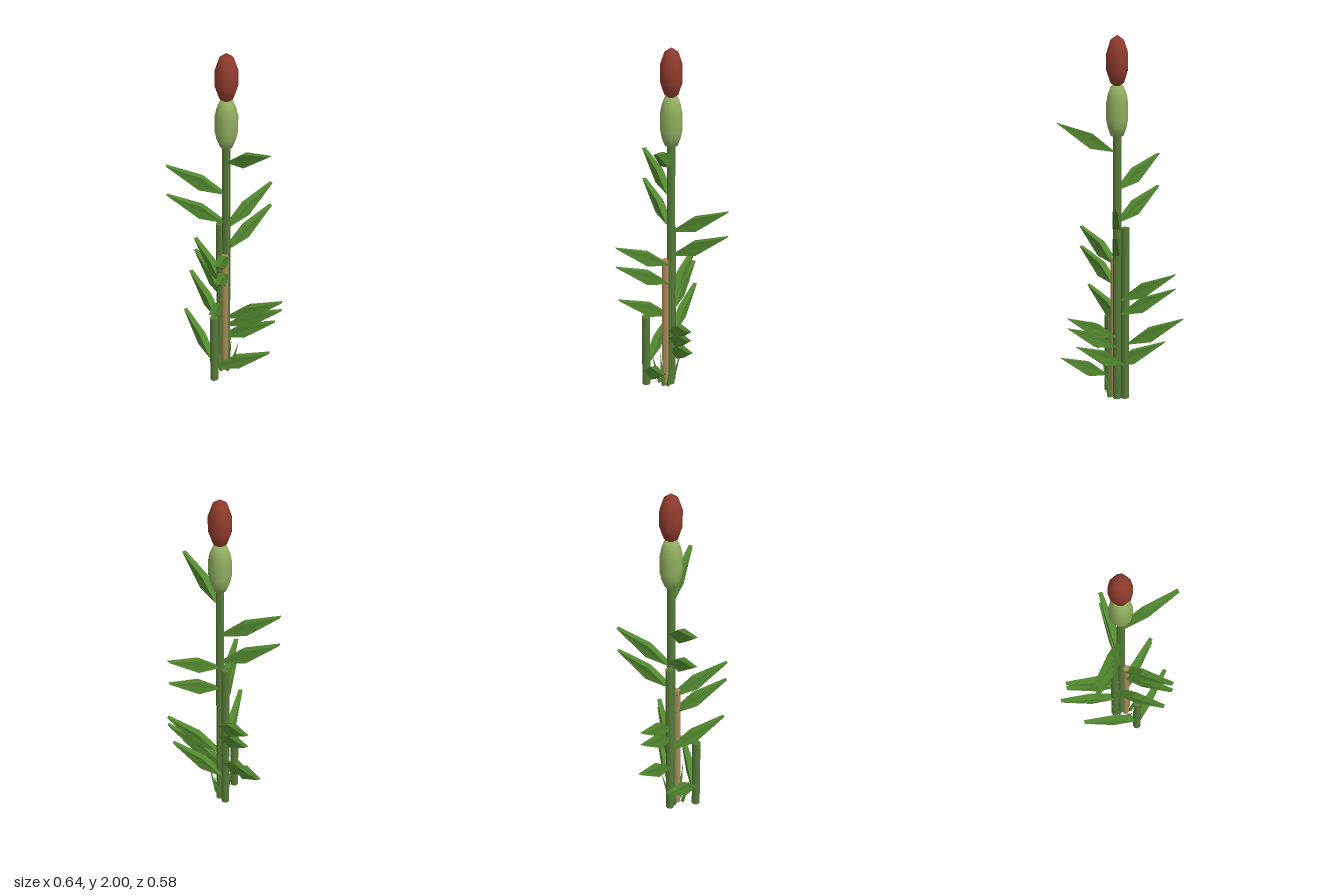
import * as THREE from 'three';

const paint = (name, color) => {
  const m = new THREE.MeshStandardMaterial({ color });
  m.name = name;
  return m;
};

// Kite-shaped leaf in side profile, tapering in width towards the tip
function leafGeometry() {
  const kite = new THREE.Shape([[0.015, -0.005], [0.145, 0.015], [0.32, 0.15], [0.13, 0.09]]
    .map(([x, y]) => new THREE.Vector2(x, y)));
  const geo = new THREE.ExtrudeGeometry(kite, { depth: 1, bevelEnabled: false });
  const p = geo.attributes.position;
  for (let i = 0; i < p.count; i++) {
    const s = p.getX(i);
    const width = s < 0.15 ? 0.039 : 0.023;
    p.setZ(i, (p.getZ(i) - 0.5) * width);
  }
  geo.computeVertexNormals();
  return geo;
}

export function createModel() {
  const group = new THREE.Group();
  const stemGreen = paint('stemGreen', 0x567a38);
  const leafGreen = paint('leafGreen', 0x52882f);
  const budGreen = paint('budGreen', 0x8fad5f);
  const rust = paint('rust', 0x8f3b2c);
  const straw = paint('straw', 0xa88a58);

  const add = (name, geo, mat, x, y, z) => {
    const mesh = new THREE.Mesh(geo, mat);
    mesh.name = name;
    mesh.position.set(x, y, z);
    group.add(mesh);
    return mesh;
  };

  // Stalks: name, material, x, z, height, radius
  const stalks = {
    mainStalk: [stemGreen, 0, -0.03, 1.5, 0.023],
    backStalk: [stemGreen, -0.04, -0.05, 0.97, 0.023],
    shortStalk: [stemGreen, -0.037, 0.105, 0.44, 0.024],
    dryStalk: [straw, 0, 0.002, 0.8, 0.019],
  };
  for (const [name, [mat, x, z, h, r]] of Object.entries(stalks)) {
    add(name, new THREE.CylinderGeometry(r, r, h, 8), mat, x, h / 2, z);
  }

  // Leaves: stalk, tip x, tip y, tip z
  const leaf = leafGeometry();
  const leaves = [
    ['mainStalk', 0.27, 1.54, 0.14],
    ['mainStalk', -0.315, 1.34, 0.025],
    ['mainStalk', -0.315, 1.16, 0.025],
    ['mainStalk', 0.19, 1.13, -0.285],
    ['mainStalk', 0.19, 0.985, -0.285],
    ['mainStalk', 0.025, 0.925, 0.29],
    ['mainStalk', 0.025, 0.81, 0.29],
    ['mainStalk', -0.235, 0.72, -0.245],
    ['mainStalk', -0.235, 0.64, -0.245],
    ['mainStalk', 0.32, 0.515, -0.03],
    ['mainStalk', 0.32, 0.46, -0.03],
    ['backStalk', -0.012, 0.585, 0.27],
    ['backStalk', -0.27, 0.47, -0.265],
    ['backStalk', 0.28, 0.355, -0.053],
    ['shortStalk', 0.28, 0.25, 0.1],
    ['shortStalk', -0.27, 0.3, -0.12],
  ];
  for (const [stalk, tx, ty, tz] of leaves) {
    const [, x, z] = stalks[stalk];
    add('leaf', leaf, leafGreen, x, ty - 0.15, z).rotation.y = Math.atan2(z - tz, tx - x);
  }

  // Thin blades sprouting at the foot: tip x, y, z
  const up = new THREE.Vector3(0, 1, 0);
  const blades = [[0.015, 0.22, -0.09], [-0.08, 0.24, -0.05], [0.08, 0.21, -0.01], [0.05, 0.25, 0.05], [-0.04, 0.2, 0.075]];
  for (const [x, y, z] of blades) {
    const foot = new THREE.Vector3(x * 0.4, 0.005, z * 0.4);
    const dir = new THREE.Vector3(x, y, z).sub(foot);
    const geo = new THREE.ConeGeometry(0.012, dir.length(), 4).translate(0, dir.length() / 2, 0);
    add('blade', geo, leafGreen, foot.x, foot.y, foot.z)
      .quaternion.setFromUnitVectors(up, dir.normalize());
  }

  // Swollen bud and seed head on the main stalk
  const budProfile = [[0, 1.47], [0.035, 1.47], [0.052, 1.515], [0.061, 1.56], [0.061, 1.645], [0.052, 1.69], [0.035, 1.735], [0, 1.735]]
    .map(([r, y]) => new THREE.Vector2(r, y));
  add('bud', new THREE.LatheGeometry(budProfile, 10), budGreen, 0, 0, -0.03);
  const head = new THREE.SphereGeometry(0.0635, 10, 5).rotateY(Math.PI / 10 * 5).scale(1, 2.17, 1);
  add('seedHead', head, rust, 0, 1.862, -0.03);

  return group;
}
